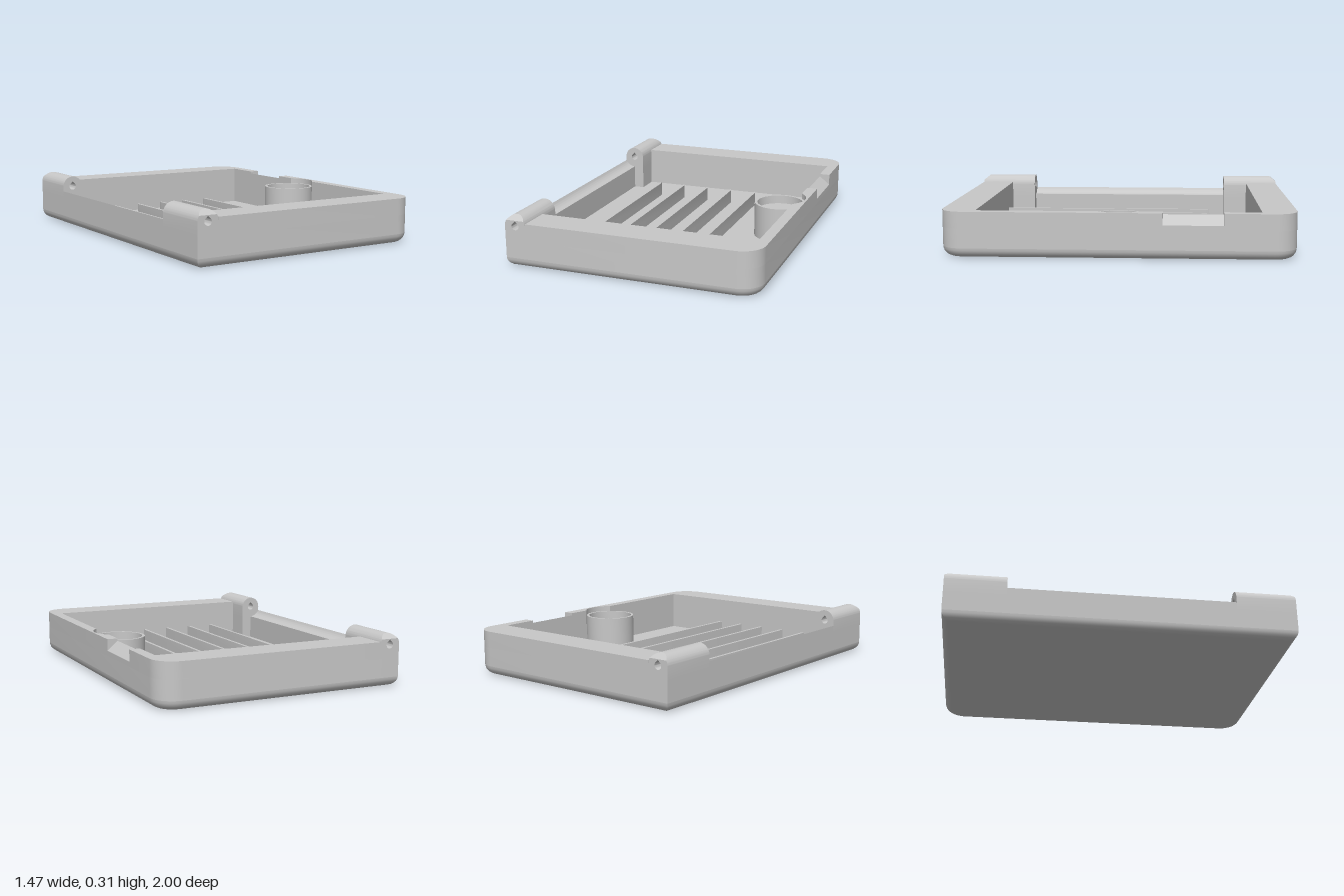
import * as THREE from 'three';
import { toCreasedNormals } from 'three/addons/utils/BufferGeometryUtils.js';

const L = -0.737, R = 0.737, D = 1, CORNER = 0.13, BEVEL = 0.055;
const TOP = 0.262, FLOOR = 0.025, SEAM = 0.165;
const BLOCK = -0.61;   // inner side of the hinge blocks
const INNER = 0.675;   // inner face of the wall opposite the hinge
const PIN = { x: (L + BLOCK) / 2, y: 0.242 };

// points along an arc, angles in radians
function arc(cx, cy, r, from, to, n = 12) {
  return Array.from({ length: n + 1 }, (_, i) => {
    const a = from + (to - from) * i / n;
    return [cx + r * Math.cos(a), cy + r * Math.sin(a)];
  });
}

// plan of the tray as [x, z]: square at the hinge side, round at the other
function outline(inset) {
  const r = CORNER - inset, cx = R - CORNER, cz = D - CORNER;
  return [
    [L + inset, -D + inset],
    ...arc(cx, -cz, r, -Math.PI / 2, 0),
    ...arc(cx, cz, r, 0, Math.PI / 2),
    [L + inset, D - inset],
  ];
}

const toVectors = (pts, sign = 1) => pts.map(([a, b]) => new THREE.Vector2(a, sign * b));

// solid with a plan of [x, z] points between two heights; a hole runs the other way round
function planSolid(pts, y0, y1, hole) {
  const shape = new THREE.Shape(toVectors(pts, -1));
  if (hole) shape.holes.push(new THREE.Path(toVectors(hole, -1)));
  const g = new THREE.ExtrudeGeometry(shape, { depth: y1 - y0, bevelEnabled: false });
  return g.rotateX(-Math.PI / 2).translate(0, y0, 0);
}

// solid with a cross-section of [x, y] points between two z values
function sectionSolid(pts, z0, z1, hole) {
  const shape = new THREE.Shape(toVectors(pts));
  if (hole) shape.holes.push(new THREE.Path(toVectors(hole)));
  const g = new THREE.ExtrudeGeometry(shape, { depth: z1 - z0, bevelEnabled: false });
  return g.translate(0, 0, z0);
}

// rounded lower edge, lofted through shrinking outlines
function lowerEdge() {
  const steps = 6, pos = [], index = [];
  let n = 0;
  for (let i = 0; i <= steps; i++) {
    const a = (i / steps) * Math.PI / 2;
    const loop = outline(BEVEL * (1 - Math.sin(a)));
    n = loop.length;
    loop.forEach(([x, z]) => pos.push(x, BEVEL * (1 - Math.cos(a)), z));
  }
  for (let i = 0; i < steps; i++) {
    for (let j = 0; j < n; j++) {
      const a = i * n + j, b = i * n + (j + 1) % n;
      index.push(a, a + n, b, b, a + n, b + n);
    }
  }
  const g = new THREE.BufferGeometry();
  g.setAttribute('position', new THREE.Float32BufferAttribute(pos, 3));
  g.setIndex(index);
  return g;
}

// hinge knuckle: a block with a teardrop pin hole, and a crown sloped at its outer end
const RADIUS = 0.0635, CROWN = 0.56;
function knuckleBlock() {
  const section = [
    [L, SEAM], [BLOCK, SEAM],
    ...arc(PIN.x, PIN.y, RADIUS, 0, CROWN, 6),
    ...arc(PIN.x, PIN.y, RADIUS, Math.PI - CROWN, Math.PI, 6),
  ];
  const hole = [...arc(PIN.x, PIN.y, 0.022, Math.PI * 0.8, Math.PI * 2.2, 16), [PIN.x, PIN.y + 0.03]];
  return sectionSolid(section, 0.65, D, hole);
}
function knuckleCrown() {
  const g = sectionSolid(arc(PIN.x, PIN.y, RADIUS, CROWN, Math.PI - CROWN, 16), 0.65, D);
  const p = g.attributes.position, base = PIN.y + RADIUS * Math.sin(CROWN);
  for (let i = 0; i < p.count; i++) {
    if (p.getZ(i) > 0.9) p.setZ(i, D - (p.getY(i) - base) * 1.2);
  }
  return g;
}

export function createModel() {
  const model = new THREE.Group();
  const grey = new THREE.MeshStandardMaterial({ color: 0xc8c8c8 });
  grey.name = 'plain grey';

  function add(name, geometry) {
    const mesh = new THREE.Mesh(toCreasedNormals(geometry, 0.55), grey);
    mesh.name = name;
    model.add(mesh);
    return mesh;
  }

  // floor and lower walls
  const cavity = [
    [PIN.x, 0.65], [BLOCK, 0.65], [BLOCK, 0.8], [INNER, 0.8],
    [INNER, -0.8], [BLOCK, -0.8], [BLOCK, -0.65], [PIN.x, -0.65],
  ];
  add('lowerEdge', lowerEdge());
  add('floor', planSolid(outline(BEVEL), 0, FLOOR));
  add('innerLowerWalls', planSolid(outline(BEVEL), 0.02, BEVEL, cavity));
  add('lowerWalls', planSolid(outline(0), BEVEL, SEAM, cavity));

  // upper walls on both sides of the finger notch
  const cx = R - CORNER, cz = D - CORNER;
  add('backUpperWall', planSolid([
    [BLOCK, -D], ...arc(cx, -cz, CORNER, -Math.PI / 2, 0),
    [R, -0.59], [INNER, -0.59], [INNER, -0.8], [BLOCK, -0.8],
  ], SEAM, TOP));
  const cup = { x: 0.57, r: 0.153 };
  const bite = Math.acos((INNER - cup.x) / (cup.r + 0.002));
  add('frontUpperWall', planSolid([
    [BLOCK, D], [BLOCK, 0.8], [INNER, 0.8],
    ...arc(cup.x, 0, cup.r + 0.002, bite, -bite, 16),
    [INNER, -0.25], [R, -0.25], ...arc(cx, cz, CORNER, 0, Math.PI / 2),
  ], SEAM, TOP));
  add('fingerNotch', sectionSolid(
    [[INNER, SEAM], [R, SEAM], [R, 0.195], [INNER, 0.248]], -0.59, -0.25));

  // hinge side: hollowed wall between two knuckles
  const lip = Math.PI + Math.acos((PIN.x - L) / 0.07);
  add('hingeGroove', sectionSolid([
    [L, SEAM], [PIN.x, SEAM], ...arc(PIN.x, PIN.y, 0.07, Math.PI * 1.5, lip, 12),
  ], -0.65, 0.65));
  const turn = (g) => g.rotateY(Math.PI).translate(2 * PIN.x, 0, 0);
  add('frontKnuckle', knuckleBlock());
  add('frontKnuckleCrown', knuckleCrown());
  add('backKnuckle', turn(knuckleBlock()));
  add('backKnuckleCrown', turn(knuckleCrown()));

  // dividing ribs with pointed ends
  for (let i = 0; i < 5; i++) {
    const x = -0.426 + i * 0.168, w = 0.009;
    add('rib' + (i + 1), planSolid([
      [x - w, 0.8], [x - w, -0.52], [x, -0.545], [x + w, -0.52], [x + w, 0.8],
    ], 0.02, 0.11));
  }

  // round cup with a shallow seat
  const profile = [[cup.r, 0.02], [cup.r, 0.23], [0.137, 0.23], [0.137, 0.18], [0, 0.18]];
  add('roundCup', new THREE.LatheGeometry(toVectors(profile), 48)).position.x = cup.x;

  return model;
}
